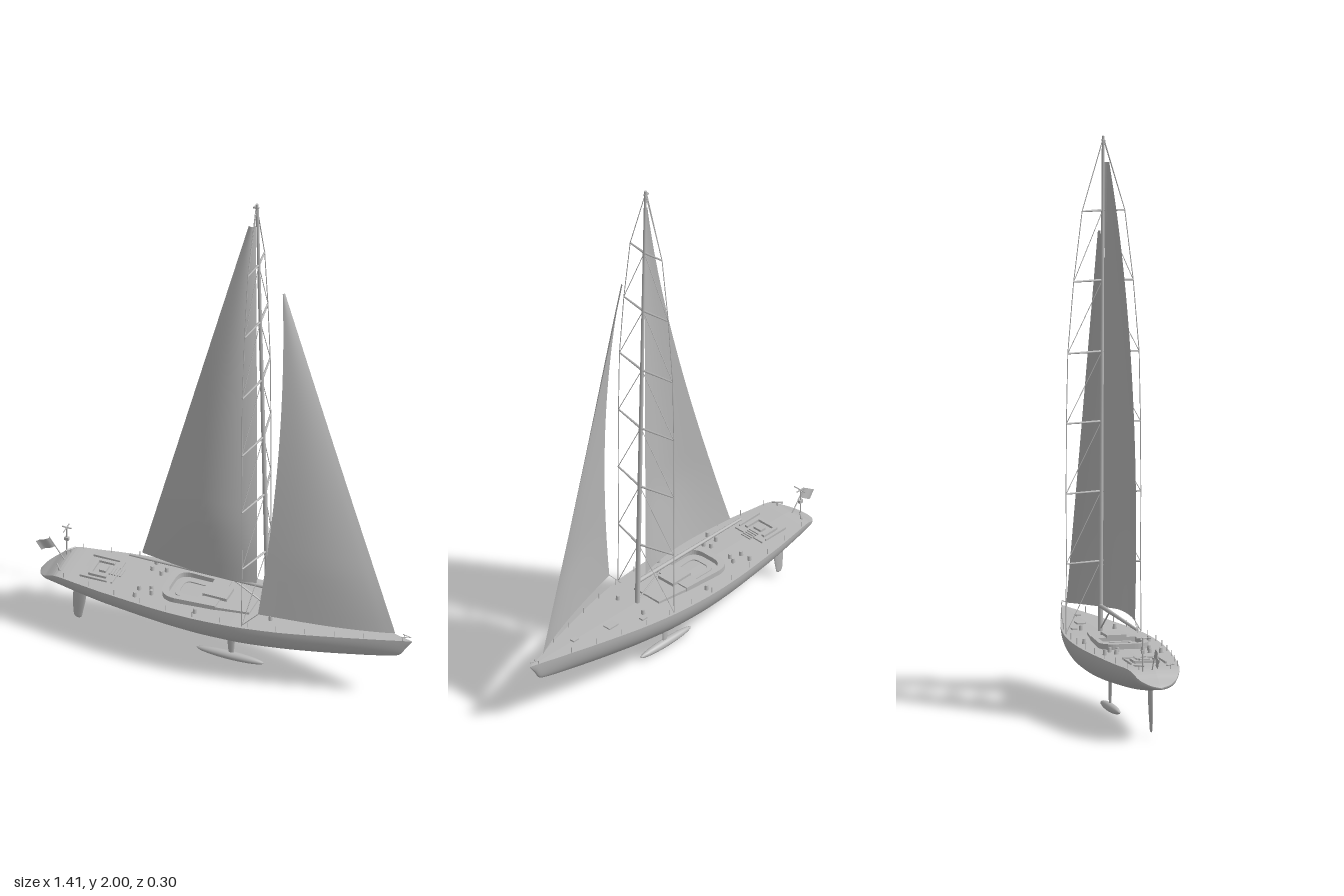
import * as THREE from 'three';

const V = (x, y, z) => new THREE.Vector3(x, y, z);
const lerp = THREE.MathUtils.lerp;

export function createModel() {
  const boat = new THREE.Group();
  boat.name = 'sailingYacht';
  const grey = new THREE.MeshStandardMaterial({ color: 0xb8b8b8, side: THREE.DoubleSide });
  grey.name = 'paleGrey';

  const add = (name, geo, x = 0, y = 0, z = 0) => {
    const m = new THREE.Mesh(geo, grey);
    m.name = name;
    m.position.set(x, y, z);
    boat.add(m);
    return m;
  };
  const box = (name, w, h, d, x, y, z) => add(name, new THREE.BoxGeometry(w, h, d), x, y, z);

  // Round bar between two points
  const rod = (name, a, b, r0, r1 = r0, sides = 6) => {
    const dir = b.clone().sub(a);
    const m = add(name, new THREE.CylinderGeometry(r1, r0, dir.length(), sides));
    m.position.copy(a).add(b).multiplyScalar(0.5);
    m.quaternion.setFromUnitVectors(V(0, 1, 0), dir.normalize());
    return m;
  };

  // Grid surface from a rule fn(u, v) -> Vector3
  const surface = (nu, nv, fn) => {
    const pos = [], idx = [];
    for (let i = 0; i <= nu; i++)
      for (let j = 0; j <= nv; j++) pos.push(...fn(i / nu, j / nv).toArray());
    for (let i = 0; i < nu; i++)
      for (let j = 0; j < nv; j++) {
        const a = i * (nv + 1) + j, b = a + nv + 1;
        idx.push(a, a + 1, b, b, a + 1, b + 1);
      }
    const g = new THREE.BufferGeometry();
    g.setAttribute('position', new THREE.Float32BufferAttribute(pos, 3));
    g.setIndex(idx);
    g.computeVertexNormals();
    return g;
  };

  // Hull stations: x, deck height, bottom height, half width
  const stations = [
    [-0.68, 0.195, 0.19, 0], [-0.668, 0.203, 0.187, 0.036], [-0.64, 0.219, 0.182, 0.066],
    [-0.59, 0.247, 0.174, 0.09], [-0.5, 0.25, 0.16, 0.106], [-0.4, 0.252, 0.149, 0.122],
    [-0.2, 0.255, 0.134, 0.144], [-0.05, 0.258, 0.127, 0.15], [0.1, 0.261, 0.127, 0.142],
    [0.25, 0.263, 0.136, 0.118], [0.4, 0.266, 0.152, 0.083], [0.55, 0.269, 0.175, 0.043],
    [0.65, 0.271, 0.199, 0.015], [0.68, 0.272, 0.238, 0.007], [0.703, 0.272, 0.27, 0],
  ];
  const curve = (k) => new THREE.CatmullRomCurve3(
    stations.map((s) => V(s[0], s[k], s[3])), false, 'catmullrom', 0.4);
  const sheer = curve(1), rocker = curve(2);
  add('hull', surface(84, 28, (u, v) => {
    const t = sheer.getPoint(u), b = rocker.getPoint(u), a = (v - 0.5) * Math.PI;
    return V(t.x, t.y - (t.y - b.y) * Math.cos(a), t.z * Math.sin(a));
  }));
  add('deck', surface(84, 2, (u, v) => {
    const t = sheer.getPoint(u);
    return V(t.x, t.y + (v === 0.5 ? t.z * 0.03 : 0), t.z * (1 - 2 * v));
  }).toNonIndexed()).geometry.computeVertexNormals();

  // Deck edge at a given x
  const edge = (x) => {
    const i = Math.max(1, stations.findIndex((s) => s[0] >= x));
    const p = stations[i - 1], q = stations[i], f = (x - p[0]) / (q[0] - p[0]);
    return { y: lerp(p[1], q[1], f), w: lerp(p[3], q[3], f) };
  };

  // Fins lofted from elliptical sections: y, aft x, fore x, half thickness
  const fin = (name, rows) => {
    const c = new THREE.CatmullRomCurve3(rows.map((r) => V(r[1], r[0], r[3])), false, 'catmullrom');
    const d = new THREE.CatmullRomCurve3(rows.map((r) => V(r[2], r[0], r[3])), false, 'catmullrom');
    add(name, surface(16, 16, (u, v) => {
      const p = c.getPoint(u), q = d.getPoint(u), a = v * Math.PI * 2;
      return V((p.x + q.x) / 2 + (q.x - p.x) / 2 * Math.cos(a), p.y, p.z * Math.sin(a));
    }));
  };
  fin('rudder', [[0.18, -0.558, -0.506, 0.006], [0.11, -0.561, -0.513, 0.006],
    [0.05, -0.56, -0.524, 0.004], [0.026, -0.555, -0.53, 0.003], [0.02, -0.545, -0.54, 0]]);
  fin('keelFin', [[0.14, 0.008, 0.047, 0.005], [0.08, 0.014, 0.042, 0.005], [0.025, 0.019, 0.038, 0.004]]);
  add('keelBulb', new THREE.SphereGeometry(1, 24, 14), 0.025, 0.019, 0).scale.set(0.126, 0.0155, 0.0155);

  // Raked mast and boom
  const mastX = (y) => lerp(0.166, 0.125, (y - 0.26) / 1.74);
  rod('mast', V(mastX(0.25), 0.25, 0), V(0.125, 2, 0), 0.009, 0.005, 12);
  box('mastHead', 0.02, 0.006, 0.008, 0.122, 1.985, 0);
  rod('boom', V(-0.35, 0.347, 0), V(0.16, 0.353, 0), 0.005, 0.008, 10);
  rod('boomVang', V(0.16, 0.275, 0), V(0.04, 0.348, 0), 0.003);

  // Spreaders, shrouds and diagonal stays on both sides
  const levels = [[0.265, 0.134], [0.51, 0.132], [0.755, 0.133], [1, 0.132],
    [1.245, 0.127], [1.495, 0.106], [1.74, 0.076], [1.99, 0.002]];
  for (const s of [1, -1]) {
    const tip = ([y, w]) => V(0.122, y, s * w);
    for (let i = 0; i < levels.length - 1; i++) {
      rod('shroud', tip(levels[i]), tip(levels[i + 1]), 0.0016);
      const yUp = levels[i + 1][0];
      rod('diagonalStay', tip(levels[i]), V(mastX(yUp), yUp, 0), 0.0013);
      if (i > 0) rod('spreader', V(mastX(levels[i][0]), levels[i][0], 0), tip(levels[i]), 0.0045, 0.003);
    }
  }

  // Sails: luff and leech curves joined by a bellied surface
  const sail = (name, luff, leech, belly) => {
    const a = new THREE.CatmullRomCurve3(luff), b = new THREE.QuadraticBezierCurve3(...leech);
    add(name, surface(28, 16, (u, v) => {
      const p = a.getPoint(u).lerp(b.getPoint(u), v);
      p.z += belly * Math.sin(Math.PI * Math.pow(v, 0.8)) * (1 - 0.85 * u) * Math.min(1, 0.5 + u * 3);
      return p;
    }));
  };
  sail('mainsail', [V(0.125, 0.36, 0), V(0.125, 1.135, 0.002), V(0.122, 1.91, 0.004)],
    [V(-0.302, 0.372, 0.004), V(-0.06, 1.24, 0.09), V(0.1, 1.91, 0.015)], 0.05);
  sail('jib', [V(0.64, 0.29, 0), V(0.434, 0.97, 0.004), V(0.232, 1.652, 0.008)],
    [V(0.178, 0.325, 0.122), V(0.276, 1.06, 0.095), V(0.227, 1.652, 0.016)], 0.025);
  rod('jibSheet', V(0.178, 0.325, 0.122), V(0.12, 0.262, 0.12), 0.0013);

  // Extruded deck fittings drawn in plan
  const plan = (name, shape, depth, y) => {
    const g = new THREE.ExtrudeGeometry(shape, { depth, bevelEnabled: false, curveSegments: 10 });
    add(name, g.rotateX(-Math.PI / 2), 0, y, 0);
  };
  const roundAft = (P, aft, fore, wAft, wFore, r) => {
    const p = new P();
    p.moveTo(fore, -wFore);
    p.lineTo(fore, wFore);
    p.lineTo(aft + r, wAft);
    p.quadraticCurveTo(aft, wAft, aft, wAft - r);
    p.lineTo(aft, r - wAft);
    p.quadraticCurveTo(aft, -wAft, aft + r, -wAft);
    return p;
  };
  const coaming = roundAft(THREE.Shape, -0.21, 0.0, 0.088, 0.078, 0.06);
  coaming.holes.push(roundAft(THREE.Path, -0.188, -0.06, 0.068, 0.066, 0.045));
  plan('cockpitCoaming', coaming, 0.025, 0.252);
  plan('cabinTop', roundAft(THREE.Shape, -0.02, 0.12, 0.078, 0.06, 0.01), 0.015, 0.257);
  const seat = roundAft(THREE.Shape, -0.17, -0.06, 0.052, 0.05, 0.035);
  seat.holes.push(roundAft(THREE.Path, -0.155, -0.08, 0.038, 0.036, 0.025));
  plan('cockpitSeat', seat, 0.012, 0.252);
  box('companionwayHood', 0.09, 0.012, 0.07, -0.02, 0.28, 0);

  // Aft cockpit frame, table and steps
  for (const s of [1, -1]) {
    box('aftCockpitSide', 0.1, 0.008, 0.005, -0.46, 0.256, s * 0.062);
    box('aftSeat', 0.06, 0.01, 0.012, -0.45, 0.257, s * 0.04);
    box('aftCockpitEnd', 0.005, 0.008, 0.045, -0.392, 0.256, s * 0.042);
  }
  box('helmBench', 0.012, 0.01, 0.09, -0.482, 0.257, 0);
  box('helmTable', 0.025, 0.012, 0.035, -0.445, 0.257, 0);
  for (let i = 0; i < 5; i++) box('step', 0.006, 0.006, 0.042, -0.418 + i * 0.01, 0.257, 0);

  // Foredeck hatches
  for (const [x, z, w] of [[0.22, -0.08, 0.025], [0.33, -0.03, 0.045], [0.48, 0, 0.025]])
    box('hatch', w, 0.006, w * 0.7, x, edge(x).y + 0.004, z);

  // Winches, stanchions and stern rails on both sides
  for (const s of [1, -1]) {
    for (const [x, z] of [[-0.29, 0.1], [-0.24, 0.07], [-0.25, 0.045], [-0.29, 0.06], [-0.06, 0.115], [0.2, 0.06]])
      add('winch', new THREE.CylinderGeometry(0.006, 0.008, 0.018, 10), x, edge(x).y + 0.01, s * z);
    for (let x = -0.56; x < 0.62; x += 0.1) {
      const e = edge(x);
      rod('stanchion', V(x, e.y - 0.002, s * e.w * 0.94), V(x, e.y + 0.022, s * e.w * 0.94), 0.0013);
    }
    rod('sternRail', V(-0.605, 0.262, s * 0.04), V(-0.58, 0.262, s * 0.072), 0.003);
    rod('sternRailPost', V(-0.592, 0.24, s * 0.056), V(-0.592, 0.262, s * 0.056), 0.002);
    rod('bowRail', V(0.665, 0.286, s * 0.01), V(0.7, 0.288, 0), 0.0015);
    rod('bowRailPost', V(0.67, 0.27, s * 0.008), V(0.67, 0.286, s * 0.01), 0.0015);
  }

  // Stern antenna pole
  rod('antennaPole', V(-0.603, 0.235, -0.045), V(-0.603, 0.36, -0.045), 0.002);
  rod('antennaBar', V(-0.603, 0.36, -0.015), V(-0.603, 0.36, -0.067), 0.002);
  box('antennaTop', 0.036, 0.003, 0.004, -0.603, 0.36, -0.045);
  box('antennaMount', 0.016, 0.012, 0.01, -0.603, 0.312, -0.045);

  // Stern flag on a slanted staff
  rod('flagStaff', V(-0.595, 0.243, -0.01), V(-0.655, 0.327, -0.012), 0.002);
  add('flag', surface(8, 3, (u, v) => V(
    -0.653 - 0.052 * u + 0.021 * v, 0.325 - 0.031 * u - 0.031 * v,
    -0.012 + 0.004 * Math.sin(u * Math.PI * 2))));
  return boat;
}
